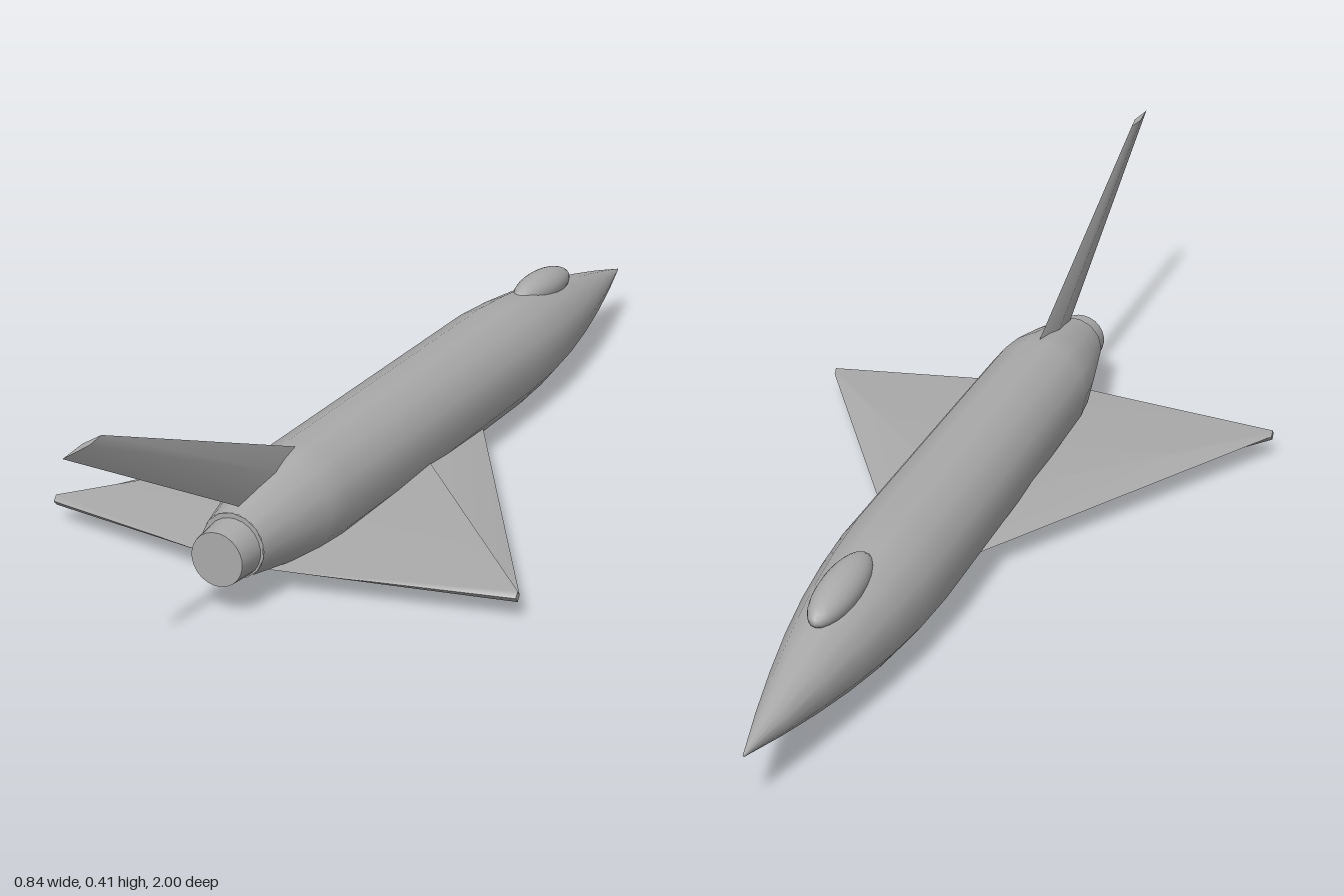
import * as THREE from 'three';

const bodyGrey = new THREE.MeshStandardMaterial({ color: 0xaaaaaa });
bodyGrey.name = 'bodyGrey';

function add(group, name, geometry) {
  const mesh = new THREE.Mesh(geometry, bodyGrey);
  mesh.name = name;
  group.add(mesh);
  return mesh;
}

// Turned shape along z; each station is [z, radius, centre height]
function turned(stations, sides) {
  const g = new THREE.LatheGeometry(
    stations.map(([z, r]) => new THREE.Vector2(r, z)), sides, Math.PI / sides);
  g.rotateX(Math.PI / 2);
  const p = g.attributes.position;
  for (let i = 0; i < p.count; i++) p.setY(i, p.getY(i) + stations[i % stations.length][2]);
  return g;
}

// Wing or fin with a diamond section; root and tip are [leading, sideA, trailing, sideB]
function blade(group, name, root, tip, mirror = false) {
  const part = new THREE.Group();
  part.name = name;
  const build = (label, points, faces, flip) => {
    const g = new THREE.BufferGeometry();
    const pos = points.flatMap(([x, y, z]) => [mirror ? -x : x, y, z]);
    g.setAttribute('position', new THREE.Float32BufferAttribute(pos, 3));
    g.setIndex(faces.flatMap(([a, b, c]) => (flip !== mirror ? [a, c, b] : [a, b, c])));
    g.computeVertexNormals();
    add(part, label, g);
  };
  const skin = [[0, 1, 3], [1, 4, 3], [1, 2, 4], [2, 5, 4]];
  const side = (k) => [root[0], root[k], root[2], tip[0], tip[k], tip[2]];
  build(name + 'SkinA', side(1), skin, false);
  build(name + 'SkinB', side(3), skin, true);
  build(name + 'Tip', tip, [[0, 1, 2], [0, 2, 3]], false);
  group.add(part);
}

export function createModel() {
  const model = new THREE.Group();
  model.name = 'deltaWingJet';

  // Fuselage, nose towards -z
  add(model, 'fuselage', turned([
    [-1, 0.001, 0.092], [-0.9, 0.026, 0.093], [-0.8, 0.048, 0.094], [-0.7, 0.067, 0.095],
    [-0.6, 0.082, 0.096], [-0.5, 0.092, 0.097], [-0.4, 0.097, 0.099], [0, 0.096, 0.101],
    [0.32, 0.094, 0.104], [0.38, 0.088, 0.104], [0.46, 0.072, 0.104], [0.54, 0.055, 0.102],
  ], 14));
  const tailPlate = add(model, 'tailPlate', new THREE.CircleGeometry(0.055, 14, Math.PI / 14));
  tailPlate.position.set(0, 0.102, 0.54);

  // Engine nozzle with a closed end
  add(model, 'nozzle', turned([[0.52, 0.05, 0.099], [0.545, 0.049, 0.099], [0.59, 0.045, 0.098]], 24));
  const nozzleEnd = add(model, 'nozzleEnd', new THREE.CircleGeometry(0.045, 24, Math.PI / 24));
  nozzleEnd.position.set(0, 0.098, 0.59);

  // Canopy
  const canopy = add(model, 'canopy', new THREE.SphereGeometry(1, 24, 16));
  canopy.scale.set(0.034, 0.03, 0.106);
  canopy.position.set(0, 0.171, -0.625);
  canopy.rotation.x = -0.06;

  // Delta wings
  const wingRoot = [[0.03, 0.044, -0.29], [0.03, 0.069, -0.04], [0.03, 0.044, 0.482], [0.03, 0.017, -0.04]];
  const wingTip = [[0.42, 0.044, 0.39], [0.42, 0.053, 0.397], [0.42, 0.044, 0.405], [0.42, 0.035, 0.397]];
  blade(model, 'leftWing', wingRoot, wingTip);
  blade(model, 'rightWing', wingRoot, wingTip, true);

  // Swept tail fin
  blade(model, 'tailFin',
    [[0, 0.16, 0.25], [-0.011, 0.16, 0.37], [0, 0.16, 0.52], [0.011, 0.16, 0.37]],
    [[0, 0.415, 0.9], [-0.006, 0.415, 0.94], [0, 0.415, 1], [0.006, 0.415, 0.94]]);

  return model;
}
